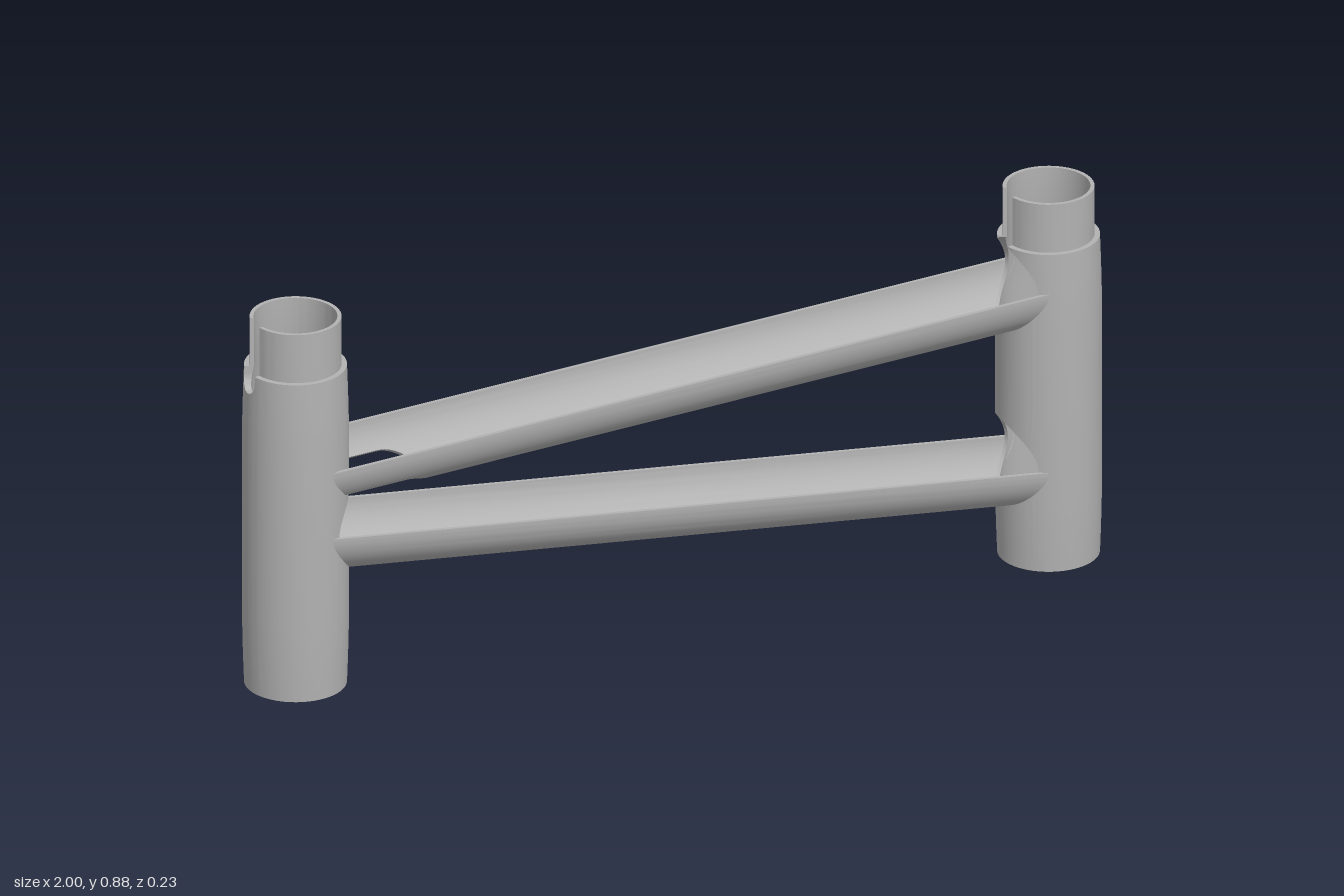
import * as THREE from 'three';
import { mergeGeometries, toCreasedNormals } from 'three/addons/utils/BufferGeometryUtils.js';

const POST_X = 0.8835, POST_R = 0.1165, BORE = 0.098;
const TUBE_R = 0.108, TUBE_IN = 0.099;
const HOLE_ANGLE = Math.asin(BORE / POST_R);
const SLOT = 0.03, SLOT_ANGLE = 0.276;
const clamp = THREE.MathUtils.clamp;
const half = (r, z) => Math.sqrt(Math.max(0, r * r - z * z));

// Closed solid skinned over sections; each section is [outer points, inner points]
function skin(sections) {
  const tris = [];
  const tri = (a, b, c) => {
    const area = b.clone().sub(a).cross(c.clone().sub(a)).length();
    if (area > 1e-9) tris.push([a, b, c]);
  };
  const quad = (a, b, c, d) => { tri(a, b, c); tri(a, c, d); };
  const loops = sections.map(([o, i]) => [...o, ...[...i].reverse()]);
  for (let s = 0; s + 1 < loops.length; s++) {
    const A = loops[s], B = loops[s + 1], n = A.length;
    for (let k = 0; k < n; k++) quad(A[k], B[k], B[(k + 1) % n], A[(k + 1) % n]);
  }
  sections.forEach(([o, i], s) => {
    for (let k = 0; k + 1 < o.length; k++) {
      if (s === 0) quad(o[k], o[k + 1], i[k + 1], i[k]);
      if (s === sections.length - 1) quad(o[k + 1], o[k], i[k], i[k + 1]);
    }
  });
  // Turn the faces outward
  const origin = sections[0][0][0];
  let volume = 0;
  for (const t of tris) {
    const [a, b, c] = t.map(p => p.clone().sub(origin));
    volume += a.dot(b.cross(c));
  }
  const flat = tris.flatMap(([a, b, c]) => (volume < 0 ? [a, c, b] : [a, b, c]));
  return new THREE.BufferGeometry().setFromPoints(flat);
}

// Angles from a to b, closer together at both ends
const spread = (a, b, n) => Array.from({ length: n + 1 },
  (_, i) => (a + b) / 2 - (b - a) / 2 * Math.cos(Math.PI * i / n));

// Post profile: height, outer radius, inner radius
const PROFILE = [
  [0, 0.112, 0.104], [0.05, 0.1138, 0.1055], [0.1, 0.1153, 0.107], [0.17, 0.1165, 0.108],
  [0.38, 0.1165, 0.108], [0.6, 0.1165, 0.108], [0.66, 0.1153, 0.107], [0.71, 0.1138, 0.1],
  [0.76, 0.112, 0.091], [0.76, 0.1, 0.091], [0.875, 0.1, 0.091],
];
const TOP = 0.875;

function profileAt(y) {
  for (let i = 0; i + 1 < PROFILE.length; i++) {
    const p = PROFILE[i], q = PROFILE[i + 1];
    if (y <= q[0] && q[0] > p[0]) {
      const t = (y - p[0]) / (q[0] - p[0]);
      return p.map((v, k) => v + (q[k] - v) * t);
    }
  }
  return PROFILE.at(-1);
}

// Piece of post wall between two angles; angle 0 faces along dir on x
function wall(cx, dir, angles, low, high) {
  return skin(angles.map(a => {
    const lo = low(a), hi = Math.max(lo, high(a));
    const rows = PROFILE.map(p => (p[0] >= lo && p[0] <= hi ? p : profileAt(clamp(p[0], lo, hi))));
    const at = (r, y) => new THREE.Vector3(cx + dir * r * Math.cos(a), y, r * Math.sin(a));
    return [rows.map(p => at(p[1], p[0])), rows.map(p => at(p[2], p[0]))];
  }));
}

const bottom = () => 0, top = () => TOP;
const holeTop = y => a => y + half(BORE, POST_R * Math.sin(a));
const holeBottom = y => a => y - half(BORE, POST_R * Math.sin(a));
const slotFloor = a => 0.74 - half(SLOT, SLOT * a / SLOT_ANGLE);

// Lengthwise strut edge heights at x = 0 and slopes
const UPPER = { y: 0.6, slope: 0.079, window: true };
const LOWER = { y: 0.3075, slope: -0.082, window: false };
const heightAt = (s, x) => s.y + s.slope * x;

// Half-tube strut, open upward, with ends shaped to the posts
function strutGeometry(s) {
  const endX = z => POST_X - half(POST_R, z) + 0.004;
  const piece = (angles, startX) => skin(angles.map(a => {
    const z = TUBE_R * Math.cos(a), x0 = startX(z), x1 = endX(z);
    const edge = r => [0, 0.25, 0.5, 0.75, 1].map(t => {
      const x = x0 + (x1 - x0) * t;
      return new THREE.Vector3(x, heightAt(s, x) - r * Math.sin(a), r * Math.cos(a));
    });
    return [edge(TUBE_R), edge(TUBE_IN)];
  }));
  const post = z => -endX(z);
  if (!s.window) return piece(spread(0, Math.PI, 40), post);
  // Round-ended window in the floor beside the post
  const w = 0.08, cut = Math.acos(w / TUBE_R);
  return mergeGeometries([
    piece(spread(0, cut, 12), post),
    piece(spread(cut, Math.PI - cut, 28), z => -0.66 + half(w, z)),
    piece(spread(Math.PI - cut, Math.PI, 12), post),
  ]);
}

// Post with one bore and a slot on its outer side
function slottedPost() {
  const y = heightAt(LOWER, -0.8), h = HOLE_ANGLE, s = SLOT_ANGLE;
  const c = -POST_X, holeArc = spread(-h, h, 28);
  return mergeGeometries([
    wall(c, 1, holeArc, bottom, holeBottom(y)),
    wall(c, 1, holeArc, holeTop(y), top),
    wall(c, 1, spread(h, Math.PI - s, 24), bottom, top),
    wall(c, 1, spread(Math.PI + s, 2 * Math.PI - h, 24), bottom, top),
    wall(c, -1, spread(-s, s, 14), bottom, slotFloor),
  ]);
}

// Post with two bores and a slot running into the upper one
function boredPost() {
  const yl = heightAt(LOWER, 0.8), yu = heightAt(UPPER, 0.8);
  const h = HOLE_ANGLE, s = SLOT_ANGLE, c = POST_X, holeArc = spread(-h, h, 28);
  return mergeGeometries([
    wall(c, -1, holeArc, bottom, holeBottom(yl)),
    wall(c, -1, holeArc, holeTop(yl), holeBottom(yu)),
    wall(c, -1, spread(s, h, 14), holeTop(yu), top),
    wall(c, -1, spread(-h, -s, 14), holeTop(yu), top),
    wall(c, -1, spread(h, 2 * Math.PI - h, 44), bottom, top),
  ]);
}

export function createModel() {
  const group = new THREE.Group();
  group.name = 'tubeFrame';
  const metal = new THREE.MeshStandardMaterial({ color: 0xb2b2b2 });
  metal.name = 'grey metal';
  const add = (name, geometry) => {
    const mesh = new THREE.Mesh(toCreasedNormals(geometry, 0.6), metal);
    mesh.name = name;
    group.add(mesh);
  };
  add('rightPost', slottedPost());
  add('leftPost', boredPost());
  add('upperStrut', strutGeometry(UPPER));
  add('lowerStrut', strutGeometry(LOWER));
  return group;
}
